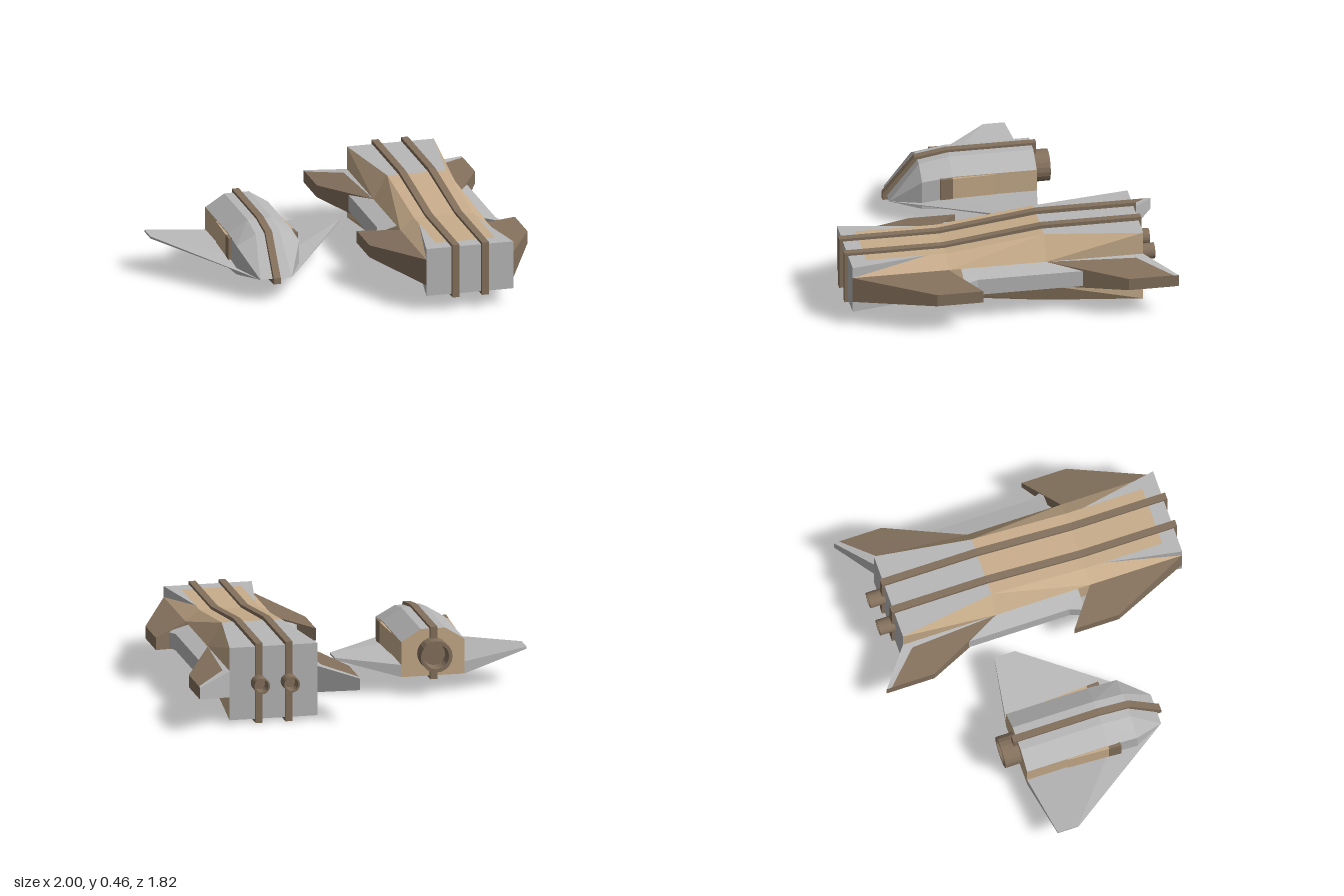
import * as THREE from 'three';

const material = (name, color) => {
  const m = new THREE.MeshStandardMaterial({ color, side: THREE.DoubleSide });
  m.name = name;
  return m;
};

// Flat facets from polygons, each turned to face away from a centre point
function facets(name, mat, polygons, centre = [0, 0, 0]) {
  const c = new THREE.Vector3(...centre), pos = [];
  for (const poly of polygons) {
    const p = poly.map(v => new THREE.Vector3(...v));
    for (let i = 1; i < p.length - 1; i++) {
      const tri = new THREE.Triangle(p[0], p[i], p[i + 1]);
      const n = tri.getNormal(new THREE.Vector3());
      const out = tri.getMidpoint(new THREE.Vector3()).sub(c).dot(n) >= 0;
      const order = out ? [p[0], p[i], p[i + 1]] : [p[0], p[i + 1], p[i]];
      order.forEach(v => pos.push(v.x, v.y, v.z));
    }
  }
  const g = new THREE.BufferGeometry();
  g.setAttribute('position', new THREE.Float32BufferAttribute(pos, 3));
  g.computeVertexNormals();
  const mesh = new THREE.Mesh(g, mat);
  mesh.name = name;
  return mesh;
}

const scaled = (polys, sx, sy) => polys.map(p => p.map(([x, y, z]) => [x * sx, y * sy, z]));
const bothX = polys => [...polys, ...scaled(polys, -1, 1)];
const bothY = polys => [...polys, ...scaled(polys, 1, -1)];
// Quad spanning the centreline between two [halfWidth, y, z] stations
const span = (a, b) => [a, b, [-b[0], b[1], b[2]], [-a[0], a[1], a[2]]];

// Raised band following a side outline of [z, y] points
function band(name, mat, outline, x) {
  const shape = new THREE.Shape(outline.map(([z, y]) => new THREE.Vector2(z, y)));
  const g = new THREE.ExtrudeGeometry(shape, { depth: 0.04, bevelEnabled: false });
  g.translate(0, 0, -0.02).rotateY(-Math.PI / 2);
  const mesh = new THREE.Mesh(g, mat);
  mesh.name = name;
  mesh.position.x = x;
  return mesh;
}

// Hollow engine nozzle pointing backwards
function nozzle(name, mat, r, length, x, y, z) {
  const profile = [[r, 0], [r, length], [r * 0.78, length], [r * 0.7, length * 0.3], [0, length * 0.3]];
  let g = new THREE.LatheGeometry(profile.map(p => new THREE.Vector2(...p)), 20);
  g = g.toNonIndexed();
  g.computeVertexNormals();
  g.rotateX(-Math.PI / 2);
  const mesh = new THREE.Mesh(g, mat);
  mesh.name = name;
  mesh.position.set(x, y, z);
  return mesh;
}

function createFreighter(grey, tan, brown) {
  const ship = new THREE.Group();
  ship.name = 'largeShip';

  // Upper edge stations; the hull is mirrored across x and y
  const T = [[0.25, 0.137, 0.89], [0.17, 0.137, 0.45], [0.17, 0.137, 0.35], [0.17, 0.207, -0.2], [0.25, 0.207, -0.745]];
  const S = z => [0.25, 0.075, z];
  const lip = [0.234, 0.137, 0.8], deck = [0.17, 0.137, 0.8];
  ship.add(facets('hullGreyPlating', grey, bothY([
    span(T[0], lip), span(T[3], T[4]),
    ...bothX([[lip, deck, T[1]], [T[0], S(0.89), T[1]]]),
  ])));
  ship.add(facets('hullTanPlating', tan, bothY([
    span(deck, T[2]), span(T[2], T[3]),
    ...bothX([
      [S(0.89), T[1], T[2], S(0.35)],
      [S(0.35), T[2], T[3], S(-0.2)],
      [S(-0.2), T[3], T[4], S(-0.745)],
      [[0.25, 0, 0.89], S(0.89), S(-0.745), [0.25, 0, -0.745]],
    ]),
  ])));
  const end = (w, h, z) => [[w, h, z], [-w, h, z], [-w, -h, z], [w, -h, z]];
  ship.add(facets('hullEnds', grey, [end(0.25, 0.137, 0.89), end(0.25, 0.207, -0.745)]));

  // Wing corners
  const A = [0.25, 0.075, 0.89], B = [0.455, 0.035, 0.45], C = [0.455, 0.035, 0.19], D = [0.25, 0.075, 0.35];
  const E = [0.25, 0.075, -0.2], F = [0.455, 0.035, -0.63], G = [0.455, 0.035, -0.88];
  const H = [0.455, 0.033, -0.91], I = [0.25, 0.075, -0.745], J = [0.28, 0.07, -0.7];
  const edge = (a, b) => [a, b, [b[0], -b[1], b[2]], [a[0], -a[1], a[2]]];
  for (const s of [1, -1]) {
    const add = (name, mat, polys, z) => ship.add(facets(name, mat, scaled(polys, s, 1), [0.34 * s, 0, z]));
    add('frontWing', brown, [...bothY([[A, B, C, D]]), edge(A, B), edge(B, C), edge(C, D)], 0.45);
    add('rearWing', brown, [...bothY([[E, F, G, J]]), edge(E, F), edge(F, G), edge(G, H)], -0.6);
    add('rearWingTrailingEdge', grey, [...bothY([[E, J, I], [J, G, H, I]]), edge(H, I)], -0.6);
    // Side fairing between the wings
    const o = [[0.37, 0.042, 0.28], [0.34, 0.047, 0.2], [0.34, 0.047, -0.45]];
    add('sideFairing', grey, [
      ...bothY([[S(0.28), o[0], o[1], S(0.2)], [S(0.2), o[1], o[2], S(-0.45)]]),
      edge(o[0], o[1]), edge(o[1], o[2]),
    ], 0);
  }

  const half = [[0.91, 0.153], [0.35, 0.153], [-0.2, 0.228], [-0.76, 0.228]];
  const outline = [...half, ...half.map(([z, y]) => [z, -y]).reverse()];
  for (const x of [-0.085, 0.085]) {
    ship.add(band('hullBand', brown, outline, x));
    ship.add(nozzle('engineNozzle', brown, 0.045, 0.095, x, 0, -0.74));
  }
  ship.position.set(0.545, 0.23, 0);
  return ship;
}

function createShuttle(grey, tan, brown) {
  const ship = new THREE.Group();
  ship.name = 'smallShip';
  const mid = [0, 0.22, 0];

  // Stations: roof edge, shoulder and belly edge
  const P = [[0.07, 0.37, -0.335], [0.07, 0.37, 0.14], [0.07, 0.34, 0.31]];
  const Q = [[0.18, 0.30, -0.335], [0.18, 0.30, 0.14], [0.18, 0.28, 0.31]];
  const R = [[0.18, 0.10, -0.335], [0.18, 0.10, 0.14], [0.18, 0.115, 0.31]];
  const N = [0.09, 0.13, 0.48];
  ship.add(facets('body', grey, [
    span(P[0], P[1]), span(P[1], P[2]), span(P[2], N),
    ...bothX([
      [P[0], P[1], Q[1], Q[0]], [P[1], P[2], Q[2], Q[1]],
      [Q[1], Q[2], R[2], R[1]], [P[2], Q[2], N], [Q[2], R[2], N],
    ]),
  ], mid));
  ship.add(facets('bodySides', tan, bothX([[Q[0], Q[1], R[1], R[0]]]), mid));
  const rear = [P[0], Q[0], R[0]];
  ship.add(facets('rearBulkhead', tan, [[...rear, ...scaled([rear], -1, 1)[0].reverse()]], mid));
  ship.add(facets('belly', brown, [span(R[0], R[1]), span(R[1], N)], mid));

  // Delta wings and side hatches
  const t1 = [0.545, 0.218, -0.16], t2 = [0.545, 0.218, -0.28];
  const b1 = [0.545, 0.206, -0.16], b2 = [0.545, 0.206, -0.28];
  const rootBack = [0.18, 0.17, -0.335], rootMid = [0.18, 0.17, 0.14];
  for (const s of [1, -1]) {
    const add = (name, mat, polys, c) => ship.add(facets(name, mat, scaled(polys, s, 1), [c[0] * s, c[1], c[2]]));
    const inside = [0.22, 0.14, 0];
    add('wingTop', grey, [[t1, t2, rootBack, rootMid, N], [rootBack, t2, b2, R[0]], [t1, t2, b2, b1], [t1, b1, N]], inside);
    add('wingUnderside', brown, [[b1, b2, R[0], R[1], N]], inside);
    const hatch = (z0, x0, z1, x1) => [
      [[x0, 0.17, z0], [x0, 0.295, z0], [x1, 0.295, z1], [x1, 0.17, z1]],
      [[0.178, 0.295, z0], [x0, 0.295, z0], [x1, 0.295, z1], [0.178, 0.295, z1]],
      [[0.178, 0.17, z1], [x1, 0.17, z1], [x1, 0.295, z1], [0.178, 0.295, z1]],
    ];
    add('sideHatch', tan, hatch(-0.1, 0.185, 0.14, 0.196), [0.17, 0.22, 0]);
    add('hatchFront', brown, hatch(0.14, 0.196, 0.21, 0.2), [0.17, 0.22, 0.15]);
  }

  ship.add(band('bodyBand', brown, [
    [0.505, 0.105], [0.505, 0.14], [0.325, 0.355], [0.145, 0.385],
    [-0.36, 0.385], [-0.36, 0.085], [0.14, 0.085],
  ], 0));
  ship.add(nozzle('mainNozzle', brown, 0.09, 0.095, 0, 0.23, -0.335));
  ship.position.x = -0.455;
  return ship;
}

export function createModel() {
  const grey = material('hullGrey', 0xb8b8b8);
  const tan = material('panelTan', 0xc8ad8b);
  const brown = material('trimBrown', 0x84715d);
  const model = new THREE.Group();
  model.name = 'spaceshipPair';
  model.add(createFreighter(grey, tan, brown), createShuttle(grey, tan, brown));
  return model;
}
